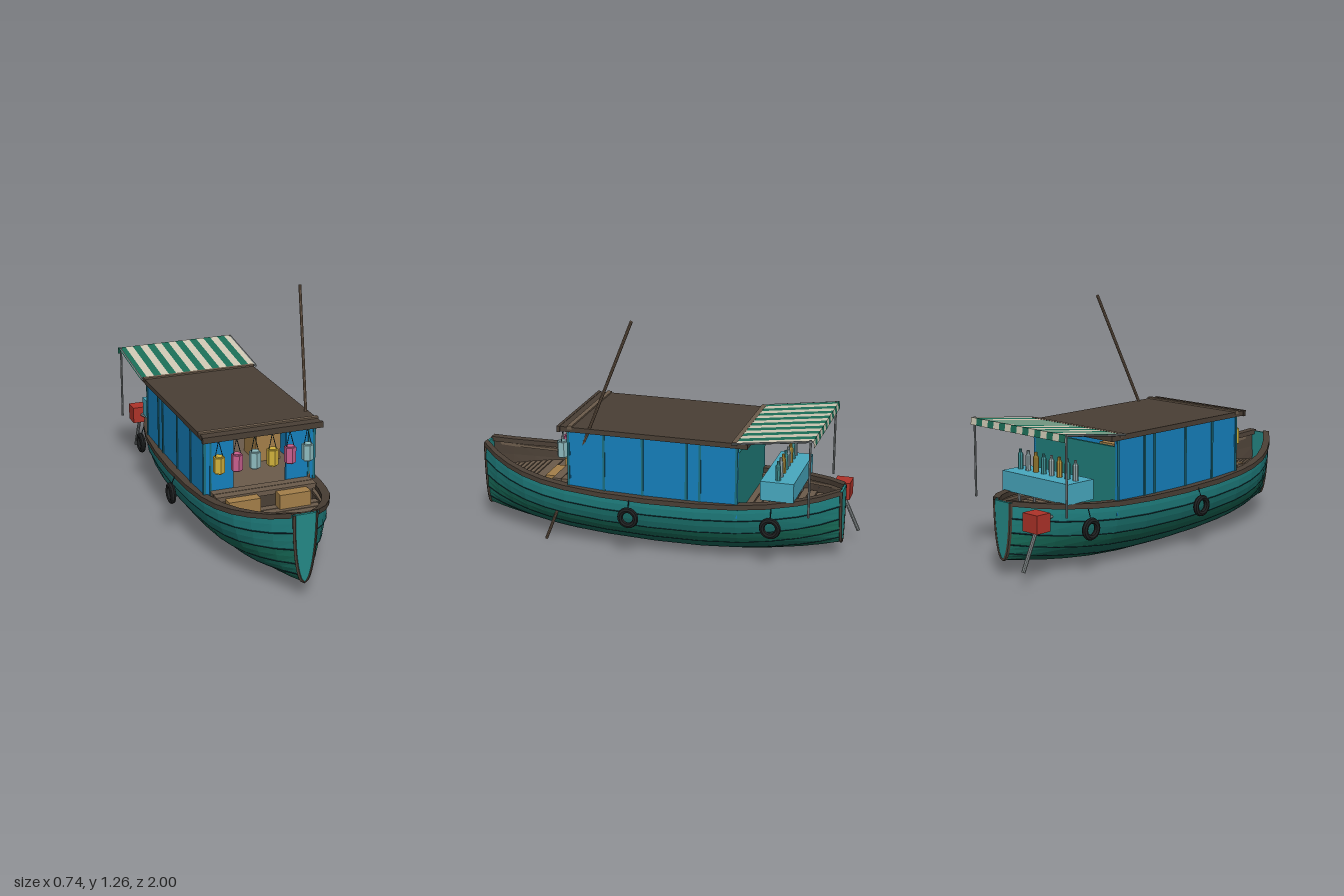
import * as THREE from 'three';

const BROWN = 0x4a3f35, PLANK = 0x6b5b4b, TEAL = 0x1f8080, BLUE = 0x1580bd, DARK = 0x12303a, GREY = 0x7d8384, TAN = 0xa37f49;
const V = (x, y, z) => new THREE.Vector3(x, y, z);
const mat = (color) => new THREE.MeshStandardMaterial({ color, flatShading: true, side: THREE.DoubleSide });

// Hull stations: z, half beam, sheer height, keel height
const STATIONS = [
  [0.99, 0.055, 0.44, 0.088], [0.9, 0.13, 0.41, 0.074], [0.8, 0.195, 0.387, 0.06], [0.7, 0.245, 0.37, 0.047],
  [0.58, 0.28, 0.352, 0.033], [0.45, 0.303, 0.34, 0.021], [0.25, 0.317, 0.328, 0.009], [0, 0.322, 0.323, 0.002],
  [-0.25, 0.314, 0.324, 0.004], [-0.45, 0.297, 0.33, 0.016], [-0.6, 0.262, 0.338, 0.032], [-0.75, 0.2, 0.35, 0.052],
  [-0.85, 0.138, 0.361, 0.069], [-0.94, 0.055, 0.373, 0.086],
];

// Hull dimensions at any z, linear between stations
function hullAt(z) {
  let i = 0;
  while (i < STATIONS.length - 2 && STATIONS[i + 1][0] > z) i++;
  const a = STATIONS[i], b = STATIONS[i + 1], t = (z - a[0]) / (b[0] - a[0]);
  return a.map((v, k) => v + (b[k] - v) * t);
}

// Point on the hull section: s = 0 at the keel, 1 at the sheer
function hullPoint([z, beam, sheer, keel], s, side, out = 0) {
  const a = s * Math.PI / 2;
  return V(side * (beam * Math.sin(a) + out * Math.sin(a)), sheer - (sheer - keel + out) * Math.cos(a), z);
}

// Skin a list of equal-length point rows
function loft(rows) {
  const n = rows[0].length, index = [];
  for (let i = 0; i < rows.length - 1; i++) for (let j = 0; j < n - 1; j++) {
    const a = i * n + j;
    index.push(a, a + n, a + 1, a + 1, a + n, a + n + 1);
  }
  const g = new THREE.BufferGeometry().setFromPoints(rows.flat());
  g.setIndex(index);
  g.computeVertexNormals();
  return g;
}

export function createModel() {
  const model = new THREE.Group();
  const add = (name, geo, color, x = 0, y = 0, z = 0) => {
    const m = new THREE.Mesh(geo, mat(color));
    m.name = name;
    m.position.set(x, y, z);
    model.add(m);
    return m;
  };
  // Box given by its limits
  const box = (name, x0, x1, y0, y1, z0, z1, color) =>
    add(name, new THREE.BoxGeometry(x1 - x0, y1 - y0, z1 - z0), color, (x0 + x1) / 2, (y0 + y1) / 2, (z0 + z1) / 2);
  const rod = (name, a, b, r, color, sides = 6) => {
    const m = add(name, new THREE.CylinderGeometry(r, r, a.distanceTo(b), sides), color);
    m.position.copy(a).lerp(b, 0.5);
    m.quaternion.setFromUnitVectors(V(0, 1, 0), b.clone().sub(a).normalize());
    return m;
  };
  const path = (pts) => {
    const c = new THREE.CurvePath();
    for (let i = 0; i < pts.length - 1; i++) c.add(new THREE.LineCurve3(pts[i], pts[i + 1]));
    return c;
  };

  // Overlapping strakes, dark seams, inner lining and gunwale, mirrored
  const strakes = [0x145446, 0x155b4b, 0x17685a, 0x176b58, 0x1c7772, TEAL];
  for (const side of [1, -1]) {
    strakes.forEach((color, k) => {
      const s0 = k / 6, s1 = (k + 1) / 6;
      add('hullStrake', loft(STATIONS.map((st) => [
        hullPoint(st, s0, side, k ? 0.006 : 0), hullPoint(st, (s0 + s1) / 2, side, 0.003), hullPoint(st, s1, side)])), color);
      if (k > 1) add('plankSeam', new THREE.TubeGeometry(
        path(STATIONS.map((st) => hullPoint(st, s0, side, 0.004))), 52, 0.004, 4), DARK);
    });
    add('hullLining', loft(STATIONS.map((st) => [0, 1, 2, 3, 4, 5, 6].map((j) => hullPoint(st, j / 6, side, -0.012)))), BROWN);
    add('gunwale', loft(STATIONS.map(([z, b, h]) =>
      [[0.014, -0.016], [0.014, 0.01], [-0.03, 0.01], [-0.03, -0.016], [0.014, -0.016]]
        .map(([dx, dy]) => V(side * (b + dx), h + dy, z)))), BROWN);
    add('innerRail', loft(STATIONS.map(([z, b, h]) =>
      [[0.84, -0.035], [0.84, -0.02], [0.95, -0.02], [0.95, -0.035]]
        .map(([k, dy]) => V(side * b * k, h + dy, z)))), PLANK);
  }

  // Flat end panels with wooden edging
  for (const st of [STATIONS[0], STATIONS[STATIONS.length - 1]]) {
    const edge = [];
    for (let j = -10; j <= 10; j++) edge.push(hullPoint(st, Math.abs(j) / 10, Math.sign(j) || 1));
    const shape = new THREE.Shape(edge.map((p) => new THREE.Vector2(p.x, p.y)));
    add('endPanel', new THREE.ExtrudeGeometry(shape, { depth: 0.014, bevelEnabled: false }), 0x248886, 0, 0, st[0] - 0.007);
    add('endPanelEdging', new THREE.TubeGeometry(new THREE.CatmullRomCurve3(edge), 40, 0.01, 5), BROWN);
  }

  // Deck slats fore and aft
  const slats = (from, to, step) => {
    for (let z = from; z < to; z += step) {
      const half = 0.93 * Math.min(hullAt(z)[1], hullAt(z + step)[1]);
      box('deckSlat', -half, half, 0.265, 0.28, z + 0.003, z + step - 0.003, PLANK);
    }
  };
  slats(0.52, 0.66, 0.045);
  slats(0.66, 0.95, 0.026);
  slats(-0.9, -0.46, 0.04);

  // Cabin floor with front step
  box('cabinFloor', -0.28, 0.28, 0.325, 0.345, -0.46, 0.43, PLANK);
  for (let i = 0; i < 2; i++) box('frontStep', -0.265, 0.265, 0.34, 0.365, 0.432 + i * 0.049, 0.477 + i * 0.049, PLANK);
  box('stepRiser', -0.25, 0.25, 0.27, 0.34, 0.505, 0.52, BROWN);

  // Cabin walls with battens
  for (const s of [1, -1]) {
    box('sideWall', s * 0.287 - 0.007, s * 0.287 + 0.007, 0.265, 0.645, -0.465, 0.43, BLUE);
    box('frontWall', s * 0.2175 - 0.0775, s * 0.2175 + 0.0775, 0.34, 0.645, 0.415, 0.43, BLUE);
    for (const z of [0.425, 0.235, 0.03, -0.2, -0.27, -0.458])
      box('wallBatten', s * 0.292 - 0.007, s * 0.292 + 0.007, 0.32, 0.645, z - 0.006, z + 0.006, 0x1b6f80);
    box('frontBatten', s * 0.262 - 0.005, s * 0.262 + 0.005, 0.34, 0.645, 0.425, 0.435, 0x1b6f80);
  }
  box('rearWall', -0.285, 0.285, 0.28, 0.605, -0.465, -0.45, 0x217f7d);

  // Roof and its edge bars
  box('roof', -0.312, 0.312, 0.64, 0.666, -0.515, 0.475, BROWN);
  for (const z of [0.41, -0.45]) box('roofBar', -0.316, 0.316, 0.655, 0.674, z - 0.012, z + 0.012, PLANK);
  box('roofFascia', -0.318, 0.318, 0.637, 0.668, 0.462, 0.478, BROWN);

  // Crates in the cabin and on the foredeck
  for (const [x0, x1, y0, y1, z0, z1] of [
    [-0.055, 0.055, 0.345, 0.515, -0.25, -0.12], [-0.24, -0.1, 0.345, 0.48, -0.1, 0.1], [0.105, 0.24, 0.345, 0.5, -0.05, 0.12],
    [-0.22, -0.055, 0.28, 0.355, 0.525, 0.58], [0.045, 0.21, 0.28, 0.355, 0.525, 0.585]]) box('crate', x0, x1, y0, y1, z0, z1, TAN);

  // Hanging lanterns
  [-0.235, -0.141, -0.047, 0.047, 0.141, 0.235].forEach((x, i) => {
    const color = [0xd2b23c, 0xc9608f, 0x8fbcc0][i % 3];
    add('lantern', new THREE.CylinderGeometry(0.03, 0.03, 0.08, 6), color, x, 0.52, 0.478);
    for (const y of [0.48, 0.56]) add('lanternRim', new THREE.CylinderGeometry(0.022, 0.022, 0.012, 6), color, x, y, 0.478);
    for (const s of [1, -1]) rod('lanternCord', V(x + s * 0.02, 0.56, 0.478), V(x, 0.642, 0.472), 0.002, DARK, 4);
  });

  // Striped awning with valance, rails and posts
  const n = 16, w = 0.67 / n;
  for (let i = 0; i < n; i++) {
    const x0 = -0.337 + i * w, x1 = x0 + w, color = i % 2 ? 0xcfc8b4 : 0x1b6e57;
    add('awningStripe', loft([[0.672, -0.455], [0.724, -0.845], [0.688, -0.85]].map(([y, z]) => [V(x0, y, z), V(x1, y, z)])), color);
  }
  for (const s of [1, -1]) {
    rod('awningRail', V(s * 0.327, 0.667, -0.44), V(s * 0.327, 0.719, -0.835), 0.006, GREY);
    rod('awningPost', V(s * 0.325, 0.325, -0.83), V(s * 0.325, 0.726, -0.83), 0.006, GREY);
  }
  rod('awningRearBar', V(-0.327, 0.716, -0.835), V(0.327, 0.716, -0.835), 0.005, GREY);

  // Serving counter with a row of bottles
  box('counter', -0.235, 0.235, 0.355, 0.455, -0.735, -0.565, 0x48a9c0);
  for (const x of [-0.15, 0.15]) for (const z of [-0.7, -0.6]) rod('counterLeg', V(x, 0.28, z), V(x, 0.36, z), 0.008, GREY);
  for (let i = 0; i < 8; i++) {
    const x = -0.196 + i * 0.056, color = [0x8fa3a6, 0x3f8f92, 0xb3913a][i % 3];
    const profile = [[0.001, 0], [0.014, 0], [0.014, 0.075], [0.008, 0.085], [0.008, 0.1], [0.001, 0.1]];
    add('bottle', new THREE.LatheGeometry(profile.map((p) => new THREE.Vector2(...p)), 8), color, x, 0.455, -0.647);
  }

  // Tyre fenders on cords
  for (const s of [1, -1]) for (const z of [0.09, -0.63]) {
    const [, beam, sheer] = hullAt(z), x = s * (beam + 0.033);
    add('tyreFender', new THREE.TorusGeometry(0.041, 0.015, 8, 20), 0x1d1f20, x, 0.228, z).rotation.y = Math.PI / 2;
    rod('fenderCord', V(x, 0.27, z), V(s * (beam + 0.008), sheer, z), 0.003, DARK, 4);
  }

  // Long punting pole leaning through the side
  rod('pole', V(0.224, 0.005, 0.585), V(0.362, 1.255, 0.06), 0.008, 0x75614f, 8);

  // Outboard motor
  box('motorHousing', -0.25, -0.15, 0.255, 0.345, -0.95, -0.865, 0xae3329);
  rod('motorShaft', V(-0.2, 0.27, -0.905), V(-0.2, 0.072, -0.995), 0.01, GREY, 8);
  rod('motorBracket', V(-0.2, 0.3, -0.87), V(-0.17, 0.3, -0.78), 0.01, GREY);

  return model;
}
